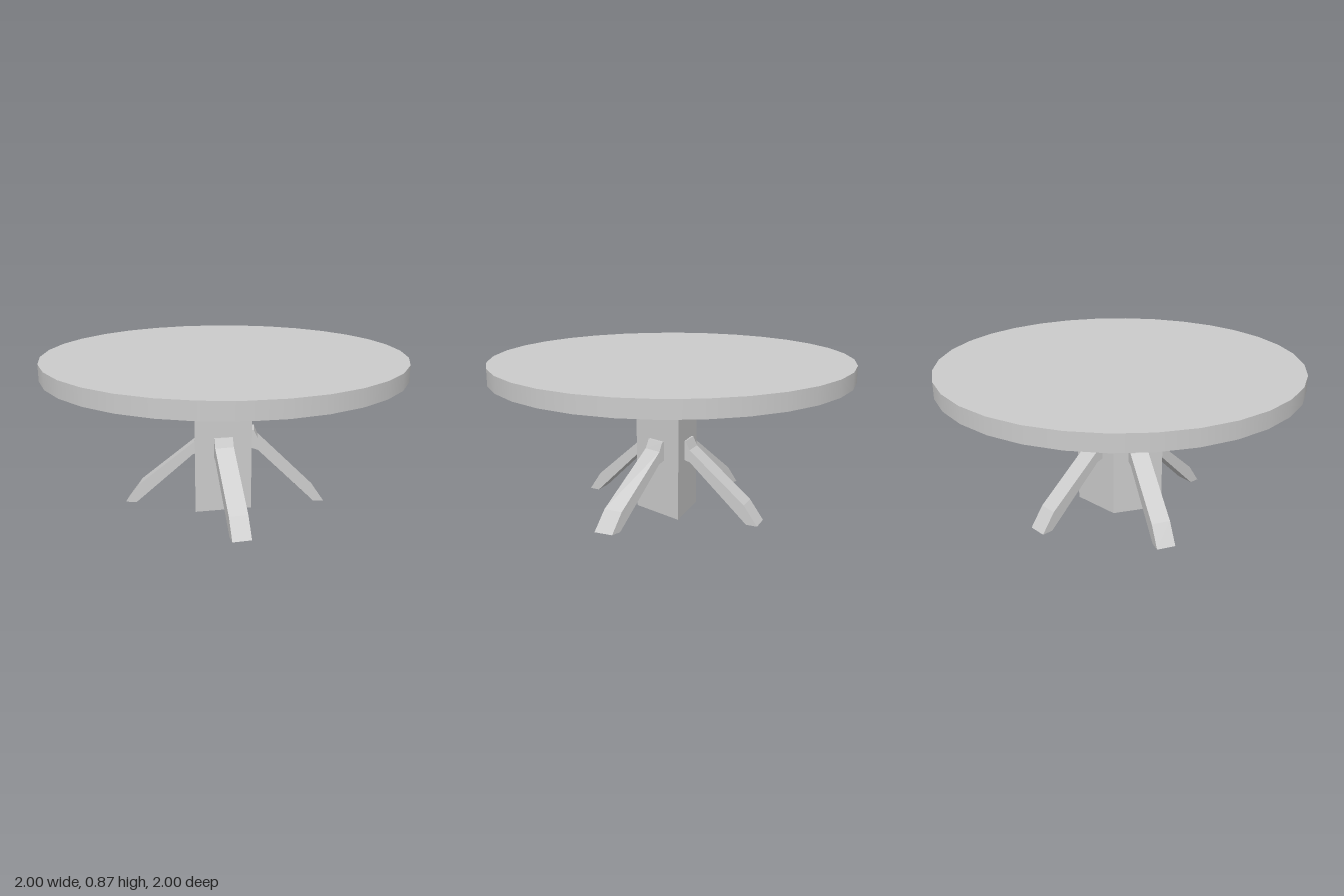
import * as THREE from 'three';

const shapeOf = (points) => new THREE.Shape(points.map(([x, y]) => new THREE.Vector2(x, y)));

// Side outline of a leg: distance out from the pedestal face, height
const LEG_PROFILE = [
  [-0.04, 0.33], [0.025, 0.31], [0.345, 0], [0.405, 0],
  [0.33, 0.11], [0.023, 0.38], [0, 0.43], [-0.04, 0.43],
];
const LEG_WIDTH = 0.105;

// Extrude the outline, then lay it from root to foot, turning the foot by twist
function legGeometry(root, foot, twist) {
  const geometry = new THREE.ExtrudeGeometry(shapeOf(LEG_PROFILE), { depth: LEG_WIDTH, bevelEnabled: false });
  const heading = Math.atan2(foot[1] - root[1], foot[0] - root[0]);
  const stretch = Math.hypot(foot[0] - root[0], foot[1] - root[1]) / 0.405;
  const pos = geometry.attributes.position;
  for (let i = 0; i < pos.count; i++) {
    const out = pos.getX(i) * stretch;
    const side = pos.getZ(i) - LEG_WIDTH / 2;
    const turn = heading + twist * THREE.MathUtils.clamp(pos.getX(i) / 0.38, 0, 1);
    pos.setX(i, root[0] + Math.cos(heading) * out - Math.sin(turn) * side);
    pos.setZ(i, root[1] + Math.sin(heading) * out + Math.cos(turn) * side);
  }
  geometry.computeVertexNormals();
  return geometry;
}

export function createModel() {
  const group = new THREE.Group();
  group.name = 'roundTable';
  const grey = new THREE.MeshStandardMaterial({ color: 0xcccccc });
  grey.name = 'light grey';

  const add = (name, geometry) => {
    const mesh = new THREE.Mesh(geometry, grey);
    mesh.name = name;
    group.add(mesh);
    return mesh;
  };

  // Round top with a smooth rim
  add('tableTop', new THREE.CylinderGeometry(1, 1, 0.09, 32)).position.y = 0.82;

  // Kite-shaped pedestal with its longer point to the front
  const kite = shapeOf([[0, -0.2], [0.25, 0], [0, 0.145], [-0.25, 0]]);
  add('pedestal', new THREE.ExtrudeGeometry(kite, { depth: 0.78, bevelEnabled: false }).rotateX(-Math.PI / 2));

  // One splayed leg on each pedestal face: root and foot as [x, z]
  const legs = [
    ['frontLeftLeg', [0.135, 0.11], [0.375, 0.42], -0.38],
    ['frontRightLeg', [-0.13, 0.105], [-0.368, 0.43], 0],
    ['backLeftLeg', [0.125, -0.082], [0.36, -0.437], 0],
    ['backRightLeg', [-0.125, -0.082], [-0.36, -0.437], 0],
  ];
  for (const [name, root, foot, twist] of legs) add(name, legGeometry(root, foot, twist));

  return group;
}
